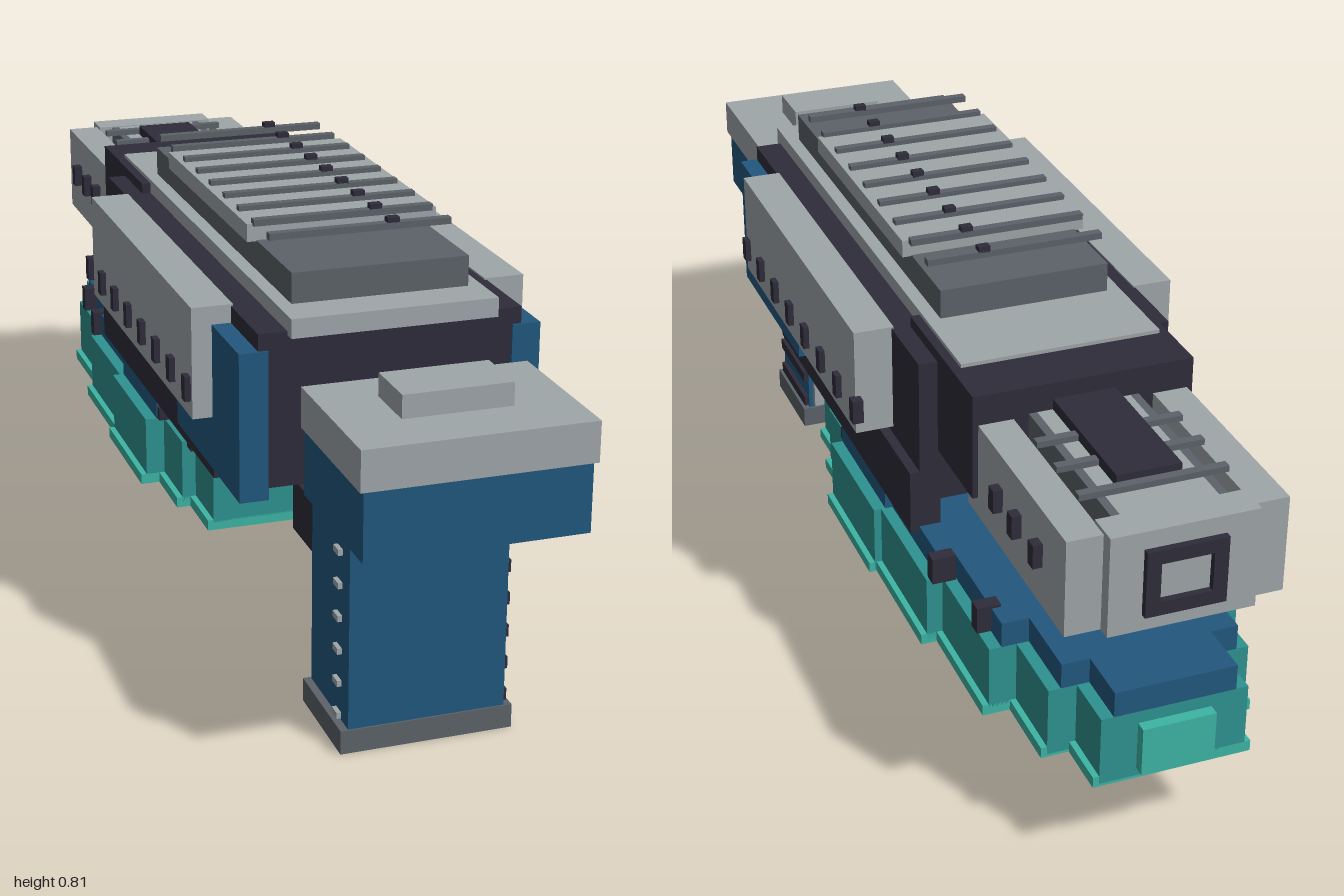
import * as THREE from 'three';

const mat = (name, color) => {
  const m = new THREE.MeshStandardMaterial({ color });
  m.name = name;
  return m;
};

export function createModel() {
  const model = new THREE.Group();
  model.name = 'blaster';
  const blue = mat('deep blue', 0x22587e);
  const light = mat('light grey', 0x9fa6a9);
  const grey = mat('dark grey', 0x5c6269);
  const dark = mat('charcoal', 0x2e2c3a);
  const teal = mat('teal', 0x2d9290);
  const mint = mat('bright teal', 0x3db5a4);

  // Box given by its limits on each axis
  const box = (name, m, x0, x1, y0, y1, z0, z1) => {
    const mesh = new THREE.Mesh(new THREE.BoxGeometry(x1 - x0, y1 - y0, z1 - z0), m);
    mesh.position.set((x0 + x1) / 2, (y0 + y1) / 2, (z0 + z1) / 2);
    mesh.name = name;
    model.add(mesh);
  };
  // Box centred on x = 0
  const mid = (name, m, w, ...r) => box(name, m, -w, w, ...r);
  // Mirrored pair of boxes
  const pair = (name, m, x0, x1, ...r) => {
    box(name + 'Left', m, x0, x1, ...r);
    box(name + 'Right', m, -x1, -x0, ...r);
  };

  // Grip
  mid('grip', blue, 0.14, 0.01, 0.455, 0.61, 0.8);
  mid('gripBase', grey, 0.154, 0, 0.043, 0.605, 0.803);
  mid('gripBackPlate', light, 0.13, 0.05, 0.4, 0.598, 0.61);
  for (let i = 0; i < 6; i++) {
    const y = 0.057 + i * 0.06;
    box('gripRib', dark, 0.135, 0.149, y - 0.011, y + 0.011, 0.615, 0.79);
    box('gripStud', light, -0.148, -0.135, y - 0.011, y, 0.74, 0.765);
  }
  mid('trigger', dark, 0.13, 0.27, 0.365, 0.475, 0.61);

  // Stock
  mid('stock', blue, 0.19, 0.44, 0.56, 0.715, 0.995);
  mid('stockCap', light, 0.197, 0.56, 0.63, 0.717, 1);
  mid('stockButton', light, 0.094, 0.63, 0.67, 0.795, 0.9);

  // Main body
  mid('body', dark, 0.234, 0.41, 0.685, -0.41, 0.605);
  mid('bodyNeck', dark, 0.14, 0.45, 0.485, 0.6, 0.645);
  mid('rearBlock', dark, 0.2, 0.51, 0.705, -0.582, -0.27);
  pair('lowerRail', dark, 0.196, 0.252, 0.35, 0.472, -0.41, 0.4);
  pair('bluePlate', blue, 0.217, 0.268, 0.39, 0.655, 0.22, 0.609);
  pair('sidePanel', light, 0.23, 0.304, 0.487, 0.688, -0.267, 0.452);
  for (let i = 0; i < 8; i++) {
    const z = 0.433 - i * 0.1012;
    pair('panelStud', dark, 0.295, 0.315, 0.517, 0.562, z - 0.011, z + 0.011);
  }

  // Layered top
  mid('topSlab', light, 0.183, 0.678, 0.712, -0.48, 0.625);
  mid('topRiser', grey, 0.158, 0.712, 0.766, -0.31, 0.55);
  mid('topCap', light, 0.175, 0.764, 0.796, -0.157, 0.355);
  for (let i = 0; i < 9; i++) {
    const z = 0.443 - i * 0.0875;
    mid('topBar', grey, 0.165, 0.793, 0.805, z - 0.008, z + 0.008);
    box('topBarNub', dark, 0.048, 0.07, 0.803, 0.814, z - 0.008, z + 0.008);
  }

  // Barrel
  pair('barrelSide', light, 0.127, 0.19, 0.475, 0.65, -0.96, -0.535);
  mid('barrelCore', light, 0.085, 0.5, 0.655, -0.95, -0.55);
  pair('barrelTrim', grey, 0.085, 0.1, 0.5, 0.655, -0.93, -0.55);
  mid('muzzle', light, 0.128, 0.475, 0.657, -0.985, -0.925);
  mid('barrelStrip', dark, 0.057, 0.65, 0.675, -0.845, -0.58);
  for (const z of [-0.685, -0.768, -0.858]) {
    mid('barrelBar', grey, 0.13, 0.655, 0.666, z - 0.008, z + 0.008);
    pair('barrelStud', dark, 0.185, 0.207, 0.548, 0.591, z - 0.011, z + 0.011);
  }
  // Muzzle frame around a light centre
  pair('muzzleFrameSide', dark, 0.045, 0.07, 0.505, 0.625, -0.997, -0.98);
  mid('muzzleFrameTop', dark, 0.045, 0.6, 0.625, -0.997, -0.98);
  mid('muzzleFrameBottom', dark, 0.045, 0.505, 0.53, -0.997, -0.98);

  // Stepped underslung hull: half width, rear z, front z
  const sections = [
    [0.21, 0.13, 0.25], [0.236, 0, 0.13], [0.272, -0.26, 0], [0.258, -0.51, -0.26],
    [0.229, -0.74, -0.51], [0.18, -0.88, -0.74], [0.13, -0.98, -0.88],
  ];
  for (const [w, z0, z1] of sections) {
    mid('hull', teal, w, 0.185, 0.313, z0, z1);
    mid('hullRim', mint, w + 0.011, 0.18, 0.2, z0, z1);
    mid('hullDeck', blue, w - 0.022, 0.313, 0.36, z0, z1);
  }
  mid('hullNosePlate', mint, 0.065, 0.2, 0.29, -1, -0.98);
  for (const [x, y, z] of [[0.19, 0.313, 0.17], [0.205, 0.313, 0], [0.21, 0.315, -0.515], [0.19, 0.315, -0.68]])
    pair('deckClip', dark, x, x + 0.043, y, y + (z < -0.1 ? 0.05 : 0.025), z - 0.013, z + 0.013);

  return model;
}
